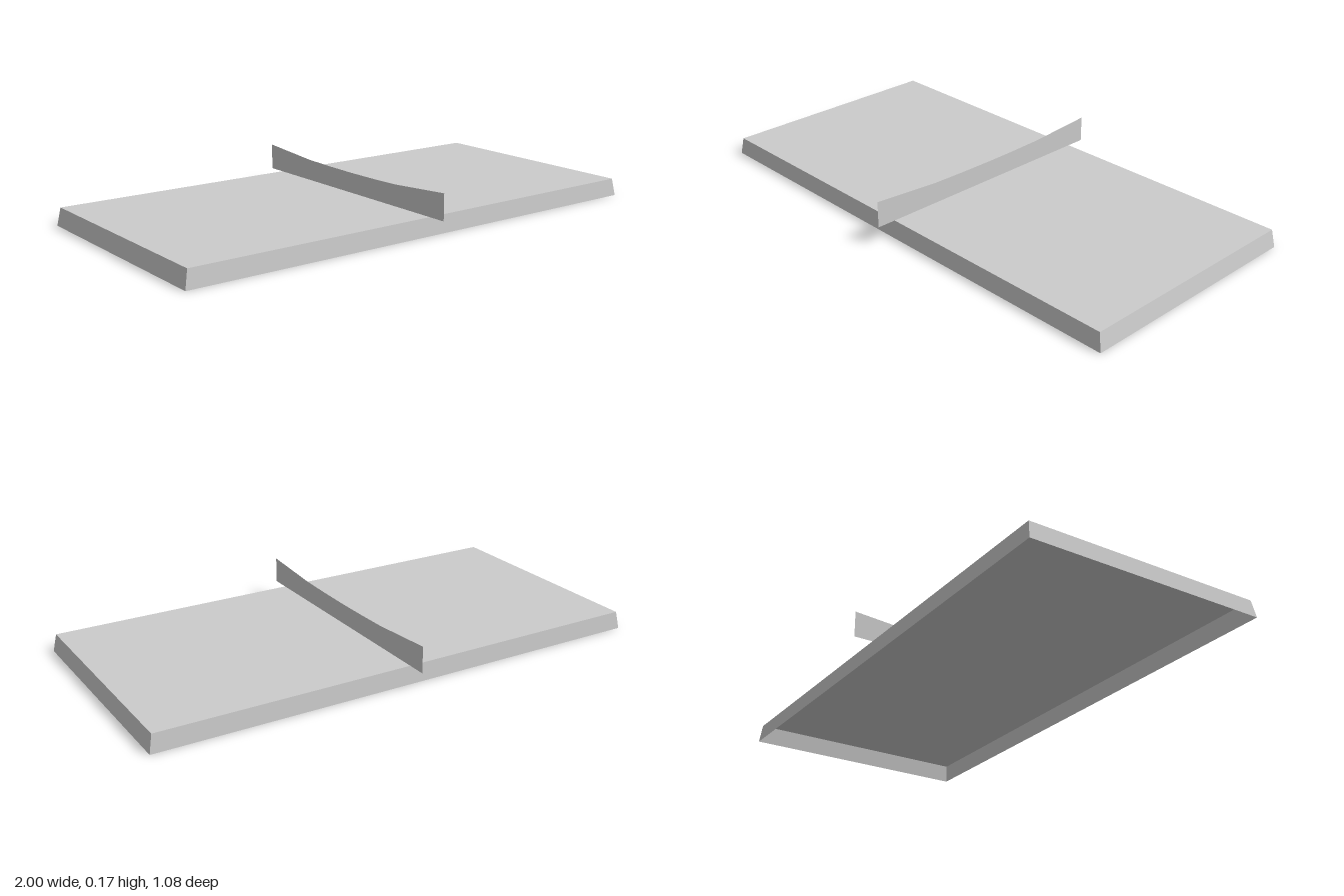
import * as THREE from 'three';

const HEIGHT = 0.069;

export function createModel() {
  const group = new THREE.Group();
  const material = new THREE.MeshStandardMaterial({
    color: 0xcccccc, side: THREE.DoubleSide, flatShading: true,
  });
  const add = (name, geometry) => {
    const mesh = new THREE.Mesh(geometry, material);
    mesh.name = name;
    group.add(mesh);
    return mesh;
  };

  // Table top: a hollow tray, open below, with slightly sloping sides
  const top = new THREE.BoxGeometry(2, HEIGHT, 0.946, 2, 1, 1);
  top.translate(0, HEIGHT / 2, 0);
  const pos = top.attributes.position;
  for (let i = 0; i < pos.count; i++) {
    if (pos.getY(i) > HEIGHT / 2) {
      pos.setX(i, pos.getX(i) * 0.987);
      pos.setZ(i, pos.getZ(i) * 0.984);
    }
  }
  const underside = top.groups[3];
  top.setIndex(Array.from(top.index.array).filter(
    (_, i) => i < underside.start || i >= underside.start + underside.count));
  top.clearGroups();
  top.computeVertexNormals();
  add('tableTop', top);

  // Net: a thin upright sheet whose upper edge sags towards the middle
  const sag = [[0.54, 0.171], [0.27, 0.152], [0.135, 0.149], [0, 0.148]];
  const net = new THREE.Shape();
  net.moveTo(-0.54, HEIGHT);
  net.lineTo(0.54, HEIGHT);
  sag.forEach(([z, y]) => net.lineTo(z, y));
  sag.slice(0, -1).reverse().forEach(([z, y]) => net.lineTo(-z, y));
  net.closePath();
  add('net', new THREE.ShapeGeometry(net)).rotation.y = Math.PI / 2;

  return group;
}
